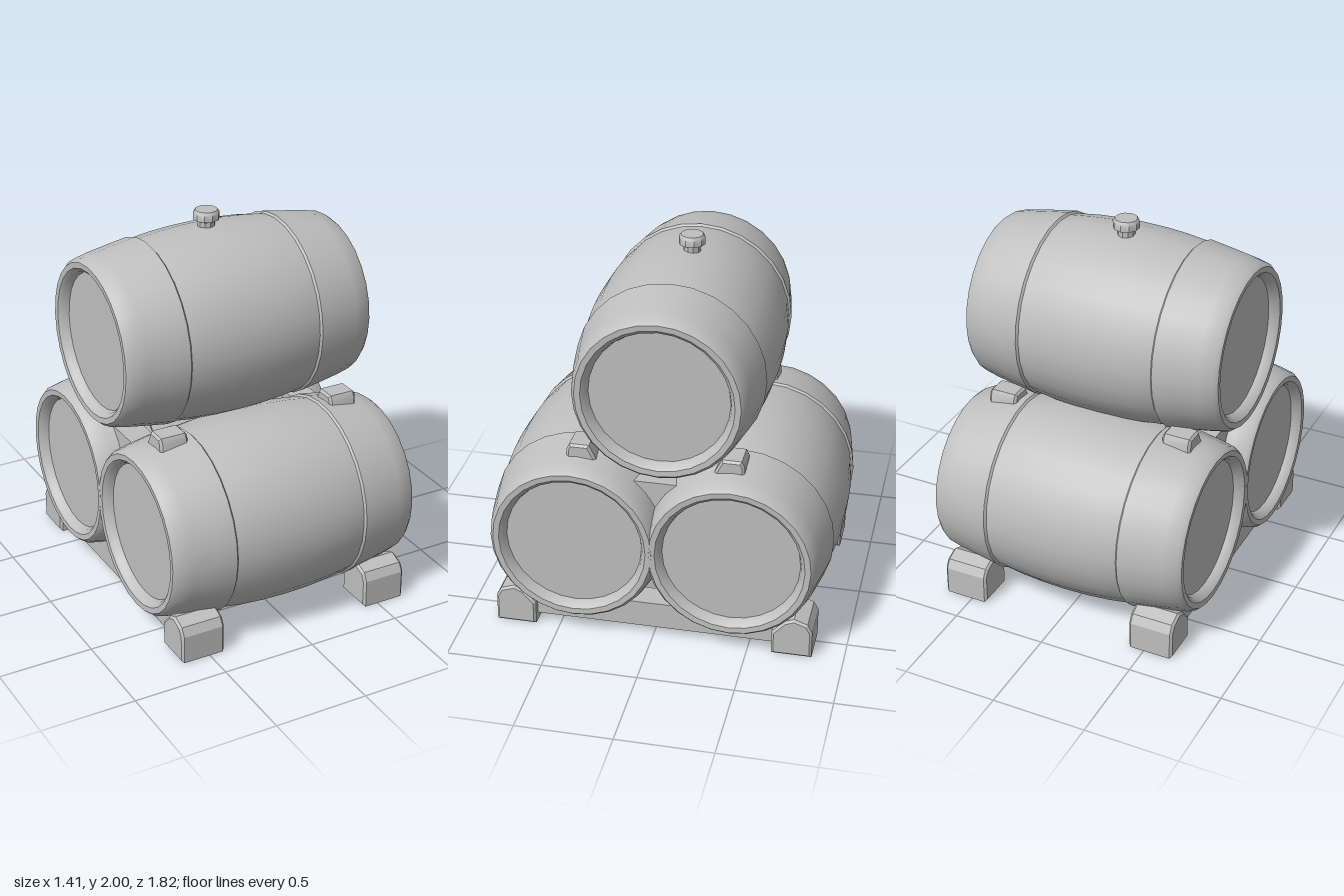
import * as THREE from 'three';
import { toCreasedNormals } from 'three/addons/utils/BufferGeometryUtils.js';

export function createModel() {
  const model = new THREE.Group();
  model.name = 'barrelStack';
  const grey = new THREE.MeshStandardMaterial({ color: 0xbfbfbf });
  grey.name = 'plain grey';

  function add(name, geometry, x, y, z, parent = model) {
    const mesh = new THREE.Mesh(geometry, grey);
    mesh.name = name;
    mesh.position.set(x, y, z);
    parent.add(mesh);
    return mesh;
  }

  // Half profile of a barrel: [radius, distance from the middle], from belly to recessed head
  const half = [
    [0.502, 0], [0.499, 0.13], [0.49, 0.25], [0.475, 0.365], [0.486, 0.375],
    [0.47, 0.48], [0.45, 0.6], [0.433, 0.675], [0.415, 0.697],
    [0.385, 0.695], [0.365, 0.675], [0.355, 0.645], [0, 0.645],
  ];
  const profile = [
    ...half.slice(1).reverse().map(([r, a]) => new THREE.Vector2(r, -a)),
    ...half.map(([r, a]) => new THREE.Vector2(r, a)),
  ];
  const barrelGeometry = toCreasedNormals(
    new THREE.LatheGeometry(profile, 28).rotateZ(-Math.PI / 2), 0.6);

  add('frontBarrel', barrelGeometry, 0, 0.54, 0.408);
  add('backBarrel', barrelGeometry, 0, 0.54, -0.408);
  add('topBarrel', barrelGeometry, -0.012, 1.415, -0.04);

  // Bung on the top barrel
  const bungProfile = [[0.045, 0], [0.045, 0.04], [0.068, 0.05], [0.068, 0.085], [0.058, 0.1], [0, 0.1]]
    .map(([r, y]) => new THREE.Vector2(r, y));
  add('bung', toCreasedNormals(new THREE.LatheGeometry(bungProfile, 10), 0.6), -0.03, 1.9, -0.065);

  // Block with a side profile given as [z, y] points, extruded along x
  function block(points, width) {
    const bevel = 0.012;
    const shape = new THREE.Shape(points.map(([z, y]) => new THREE.Vector2(-z, y)));
    const geometry = new THREE.ExtrudeGeometry(shape, {
      depth: width - 2 * bevel, bevelSize: bevel, bevelThickness: bevel,
      bevelOffset: -bevel, bevelSegments: 1,
    });
    geometry.translate(0, 0, bevel - width / 2).rotateY(Math.PI / 2);
    return toCreasedNormals(geometry, 0.5);
  }

  const foot = block([[0.625, 0], [0.835, 0], [0.835, 0.15], [0.81, 0.195], [0.74, 0.22], [0.69, 0.2], [0.625, 0.13]], 0.24);
  const chock = block([[0.28, 0.85], [0.46, 0.85], [0.455, 1.03], [0.44, 1.06], [0.34, 1.06], [0.3, 0.98]], 0.155);
  const lowerBeam = new THREE.BoxGeometry(0.14, 0.145, 1.3);
  const upperBeam = new THREE.BoxGeometry(0.14, 0.14, 0.85);

  // Two cradles, one near each end of the barrels
  for (const side of [1, -1]) {
    const cradle = new THREE.Group();
    cradle.name = side > 0 ? 'leftCradle' : 'rightCradle';
    model.add(cradle);
    add('lowerBeam', lowerBeam, side * 0.54, 0.115, 0, cradle);
    add('upperBeam', upperBeam, side * 0.49, 0.815, 0, cradle);
    for (const turn of [0, Math.PI]) {
      add('foot', foot, side * 0.535, 0, 0, cradle).rotation.y = turn;
      add('chock', chock, side * 0.49, 0, 0, cradle).rotation.y = turn;
    }
  }
  return model;
}
